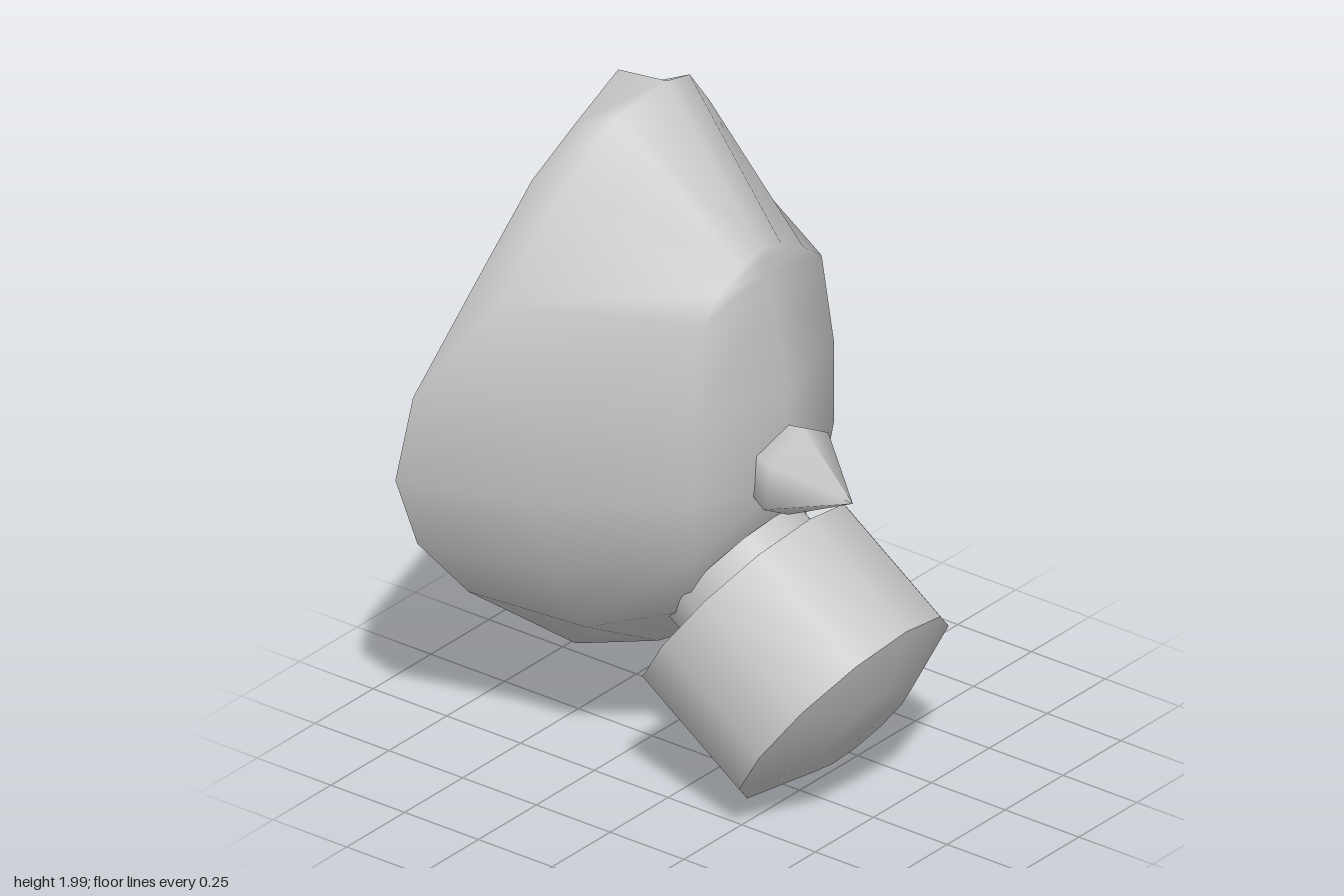
import * as THREE from 'three';
import { mergeVertices } from 'three/addons/utils/BufferGeometryUtils.js';

// Half outlines run from the top down the +x side to the bottom: [x, y, z]
const RIM = [[0, 1.98, -0.365], [0.145, 1.865, -0.398], [0.29, 1.745, -0.43], [0.47, 1.475, -0.49], [0.65, 1.2, -0.55],
  [0.65, 0.93, -0.61], [0.555, 0.7, -0.61], [0.36, 0.48, -0.59], [0, 0.2, -0.51]];
const MIDDLE = [[0, 2, -0.2], [0.155, 1.94, -0.245], [0.31, 1.78, -0.3], [0.515, 1.49, -0.36], [0.515, 1.2, -0.23],
  [0.515, 0.93, -0.23], [0.46, 0.7, -0.23], [0.31, 0.47, -0.23], [0, 0.3, -0.23]];
const NOSE = [[0, 1.6, 0.12], [0.09, 1.57, 0.12], [0.18, 1.53, 0.12], [0.26, 1.47, 0.12], [0.3, 1.2, 0.13],
  [0.3, 0.95, 0.13], [0.27, 0.76, 0.11], [0.2, 0.56, 0.03], [0, 0.4, -0.06]];
const RIDGE = [[0, 1.6, 0.12], [0, 1.57, 0.127], [0, 1.53, 0.137], [0, 1.46, 0.153], [0, 1.2, 0.215],
  [0, 0.93, 0.21], [0, 0.8, 0.17], [0, 0.6, 0.07], [0, 0.4, -0.06]];

const mirror = (half) => half.map(([x, y, z]) => [-x, y, z]);
const fullRing = (half) => [...half, ...mirror(half.slice(1, -1)).reverse()];

// Shrinks an outline about the middle of the mask and shifts it in depth
const inset = (half, s, shift) => half.map(([x, y, z]) => [x * s, 1.09 + (y - 1.09) * s, z + shift(y)]);

// Smooth skin across a series of rings with equal point counts; diagonals mirror left to right
function loft(rings, closed = true) {
  const n = rings[0].length;
  const index = [];
  for (let i = 0; i < rings.length - 1; i++) {
    for (let j = 0; j < (closed ? n : n - 1); j++) {
      const k = (j + 1) % n;
      const a = i * n + j, b = i * n + k, c = b + n, d = a + n;
      if (j < n / 2) index.push(a, d, b, d, c, b);
      else index.push(a, d, c, a, c, b);
    }
  }
  let geo = new THREE.BufferGeometry();
  geo.setAttribute('position', new THREE.Float32BufferAttribute(rings.flat(2), 3));
  geo.setIndex(index);
  geo = mergeVertices(geo, 1e-4);
  geo.computeVertexNormals();
  return geo;
}

export function createModel() {
  const group = new THREE.Group();
  const grey = new THREE.MeshStandardMaterial({ color: 0xc4c4c4, side: THREE.DoubleSide });
  grey.name = 'grey';

  const add = (name, geo) => {
    const mesh = new THREE.Mesh(geo, grey);
    mesh.name = name;
    group.add(mesh);
    return mesh;
  };

  // Stands a turned part at [y, z] in the centre plane, with its axis along [dy, dz]
  const aim = (mesh, [y, z], [dy, dz]) => {
    mesh.position.set(0, y, z);
    mesh.rotation.x = Math.atan2(dz, dy);
  };
  const turned = (profile, sides) =>
    new THREE.LatheGeometry(profile.map(([r, h]) => new THREE.Vector2(r, h)), sides);

  // Mask shell, face rim and hollow
  const innerRim = inset(RIM, 0.78, (y) => -0.005 - 0.064 * Math.max(0, y - 1.2));
  innerRim[8][2] = -0.535;
  const floor = inset(RIM, 0.63, () => 0.16);
  add('maskShell', loft([RIM, MIDDLE, NOSE, RIDGE].map(fullRing)));
  add('faceRim', loft([innerRim, RIM].map(fullRing)));
  add('hollowWall', loft([floor, innerRim].map(fullRing)));
  add('hollowFloor', loft([mirror(floor), floor], false));

  // Filter canister with a domed front, on a short neck, tilted forward and down
  const tilt = [-0.579, 0.815];
  aim(add('filterCanister', new THREE.CylinderGeometry(0.366, 0.366, 0.402, 12, 1, true)), [0.421, 0.236], tilt);
  aim(add('filterBack', turned([[0, 0], [0.366, 0]], 12)), [0.5375, 0.0725], tilt);
  aim(add('filterFront', turned([[0.366, 0], [0.17, 0.075], [0, 0.075]], 12)), [0.305, 0.4], tilt);
  aim(add('filterNeck', new THREE.CylinderGeometry(0.235, 0.235, 0.09, 12)), [0.593, 0.073], tilt);

  // Pointed valve above the filter
  aim(add('valve', turned([[0.11, -0.09], [0.142, 0], [0, 0.196]], 6)), [0.965, 0.2375], [-0.035, 0.1925]);

  return group;
}
